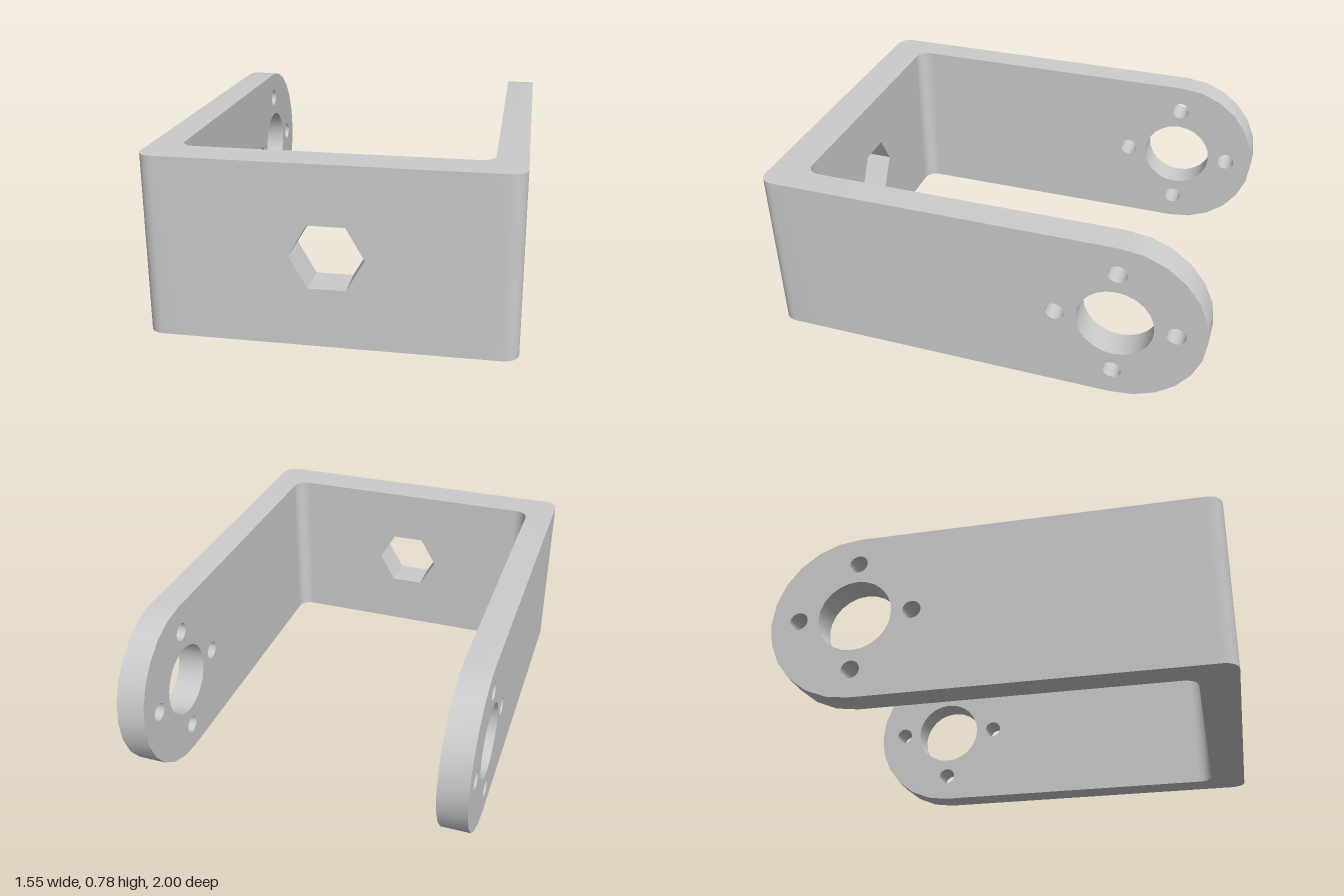
import * as THREE from 'three';
import { toCreasedNormals } from 'three/addons/utils/BufferGeometryUtils.js';

const HALF_W = 0.775, HEIGHT = 0.78, MID_Y = HEIGHT / 2;
const ARM_T = 0.13, INNER_X = HALF_W - ARM_T;      // arm thickness
const FRONT_Z = 1, BACK_Z = 0.835;                 // front plate
const OUTER_R = 0.065, INNER_R = 0.06;             // bend radii
const BEND_X = INNER_X - INNER_R, BEND_Z = BACK_Z - INNER_R;
const PIVOT_Z = -0.61;                             // centre of the rounded arm end

const material = new THREE.MeshStandardMaterial({ color: 0xcccccc });

// Points along an arc, angles in degrees
function arc(cx, cy, r, from, to, segments) {
  return Array.from({ length: segments + 1 }, (_, i) => {
    const a = THREE.MathUtils.degToRad(from + ((to - from) * i) / segments);
    return new THREE.Vector2(cx + r * Math.cos(a), cy + r * Math.sin(a));
  });
}

function hole(cx, cy, r, sides) {
  return new THREE.Path(arc(cx, cy, r, 0, 360, sides).slice(0, -1));
}

function extrude(points, holes, depth) {
  const shape = new THREE.Shape(points);
  shape.holes.push(...holes);
  return new THREE.ExtrudeGeometry(shape, { depth, bevelEnabled: false });
}

function part(name, geometry) {
  const mesh = new THREE.Mesh(toCreasedNormals(geometry, 0.6), material);
  mesh.name = name;
  return mesh;
}

// Front plate with a hexagonal hole
function frontPlate() {
  const outline = [[-BEND_X, 0], [BEND_X, 0], [BEND_X, HEIGHT], [-BEND_X, HEIGHT]]
    .map(([x, y]) => new THREE.Vector2(x, y));
  const geometry = extrude(outline, [hole(0, MID_Y, 0.156, 6)], FRONT_Z - BACK_Z);
  return part('frontPlate', geometry.translate(0, 0, BACK_Z));
}

// Rounded bend joining plate and arm, drawn in plan and extruded upwards
function bend(side, name) {
  const plan = [
    new THREE.Vector2(BEND_X, FRONT_Z),
    ...arc(HALF_W - OUTER_R, FRONT_Z - OUTER_R, OUTER_R, 90, 0, 6),
    new THREE.Vector2(HALF_W, BEND_Z),
    ...arc(BEND_X, BEND_Z, INNER_R, 0, 90, 6),
  ].map((p) => new THREE.Vector2(p.x * side, -p.y));
  return part(name, extrude(plan, [], HEIGHT).rotateX(-Math.PI / 2));
}

// Side arm with rounded end, pivot hole and four screw holes (shape x = -z)
function arm(side, name) {
  const cx = -PIVOT_Z;
  const outline = [
    new THREE.Vector2(-BEND_Z, 0),
    ...arc(cx, MID_Y, MID_Y, -90, 90, 12),
    new THREE.Vector2(-BEND_Z, HEIGHT),
  ];
  const holes = [hole(cx, MID_Y, 0.168, 24)];
  for (let i = 0; i < 4; i++) {
    const a = (i * Math.PI) / 2;
    holes.push(hole(cx + 0.26 * Math.cos(a), MID_Y + 0.26 * Math.sin(a), 0.042, 16));
  }
  const geometry = extrude(outline, holes, ARM_T).rotateY(Math.PI / 2);
  return part(name, geometry.translate(side > 0 ? INNER_X : -HALF_W, 0, 0));
}

export function createModel() {
  const bracket = new THREE.Group();
  bracket.name = 'bracket';
  bracket.add(frontPlate());
  for (const [side, label] of [[1, 'left'], [-1, 'right']]) {
    bracket.add(bend(side, label + 'Bend'), arm(side, label + 'Arm'));
  }
  return bracket;
}
